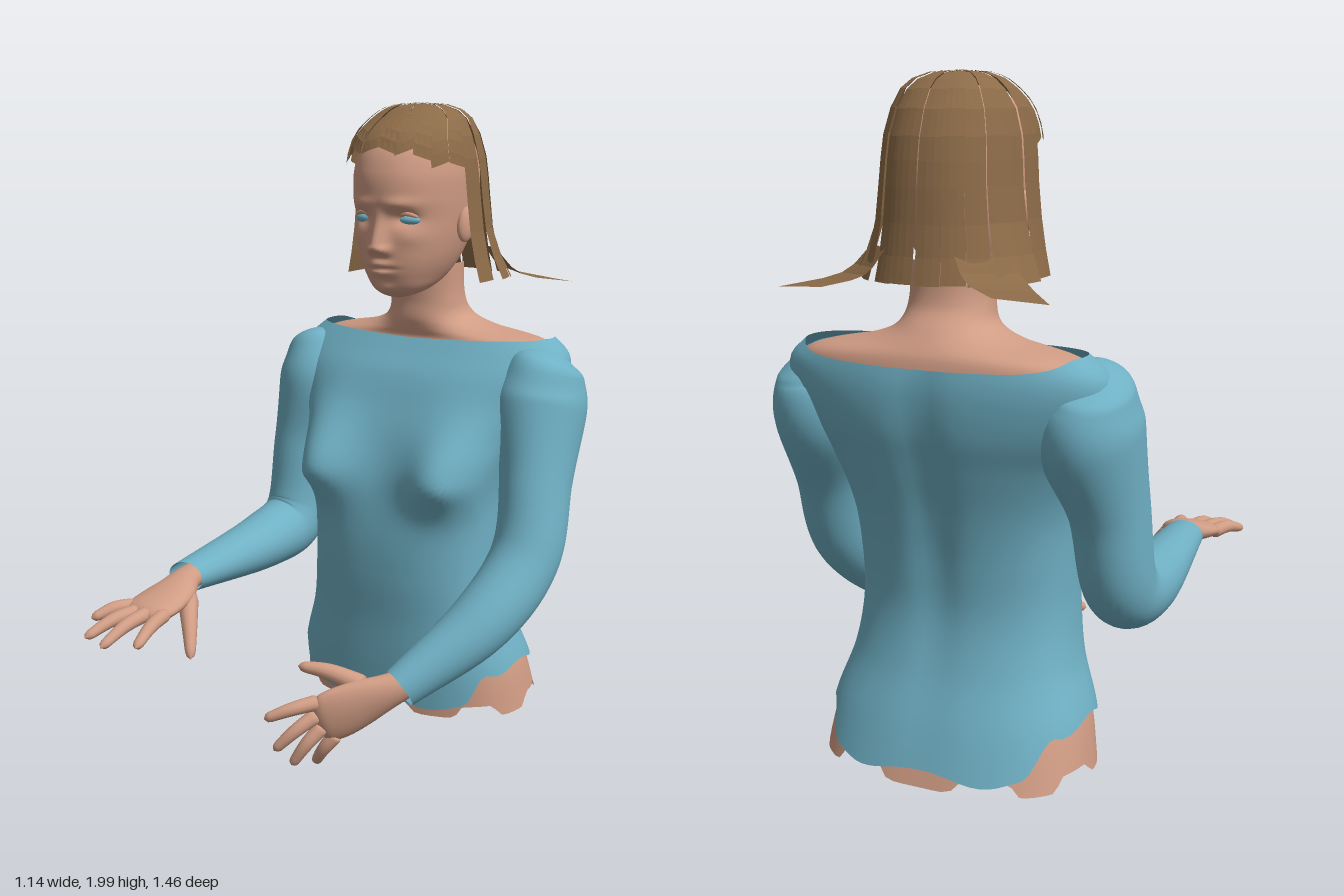
import * as THREE from 'three';

const mat = (name, color, side = THREE.FrontSide) => {
  const m = new THREE.MeshStandardMaterial({ color, side });
  m.name = name;
  return m;
};
const gauss = (x, y, sx, sy) => Math.exp(-((x / sx) ** 2) - (y / sy) ** 2);
const step = THREE.MathUtils.smoothstep;
const spow = (v, p) => Math.sign(v) * Math.abs(v) ** p;

// Smooth interpolation of rows [key, a, b, ...] at a given key
function sample(rows, key) {
  let i = 0;
  while (i < rows.length - 2 && key > rows[i + 1][0]) i++;
  const slope = (k, c) => {
    const a = rows[Math.max(k - 1, 0)], b = rows[Math.min(k + 1, rows.length - 1)];
    return (b[c] - a[c]) / (b[0] - a[0]);
  };
  const p = rows[i], q = rows[i + 1], h = q[0] - p[0];
  const t = THREE.MathUtils.clamp((key - p[0]) / h, 0, 1), t2 = t * t, t3 = t2 * t;
  return p.slice(1).map((v, k) => (2 * t3 - 3 * t2 + 1) * v + (t3 - 2 * t2 + t) * h * slope(i, k + 1)
    + (3 * t2 - 2 * t3) * q[k + 1] + (t3 - t2) * h * slope(i + 1, k + 1));
}

// Grid surface from fn(u, v) -> [x, y, z]; closed wraps around in u
function surface(fn, nu, nv, closed = true, flat = false) {
  const pos = [], idx = [], cols = closed ? nu : nu + 1;
  for (let j = 0; j <= nv; j++) for (let i = 0; i < cols; i++) pos.push(...fn(i / nu, j / nv));
  for (let j = 0; j < nv; j++) for (let i = 0; i < nu; i++) {
    const a = j * cols + i, b = j * cols + (i + 1) % cols;
    idx.push(a, b, b + cols, a, b + cols, a + cols);
  }
  let g = new THREE.BufferGeometry();
  g.setAttribute('position', new THREE.Float32BufferAttribute(pos, 3));
  g.setIndex(idx);
  if (flat) g = g.toNonIndexed();
  g.computeVertexNormals();
  return g;
}

// Point on an upright body section [halfWidth, zFront, zBack]
function section([hw, zf, zb], a, n) {
  const x = hw * spow(Math.sin(a), 2 / n);
  return [x, (zf + zb) / 2 + (zf - zb) / 2 * spow(Math.cos(a), 2 / n)];
}

// Tapered limb along rows [x, y, z, radiusAcross, radiusThick]
function limb(pts, side, nv, nu, roundStart, roundEnd) {
  const rows = pts.map((p, i) => [i, ...p]), last = pts.length - 1;
  const at = t => new THREE.Vector3(...sample(rows, t));
  const sideVec = new THREE.Vector3(...side);
  const dome = (d, r) => (r && d < r ? Math.sqrt(Math.max(0, 1 - (1 - d / r) ** 2)) : 1);
  return surface((u, v) => {
    const t = v * last, s = sample(rows, t);
    const T = at(Math.min(t + 0.02, last)).sub(at(Math.max(t - 0.02, 0))).normalize();
    const A = sideVec.clone().addScaledVector(T, -sideVec.dot(T)).normalize();
    const B = T.clone().cross(A), k = dome(v, roundStart) * dome(1 - v, roundEnd);
    const a = u * Math.PI * 2;
    return new THREE.Vector3(s[0], s[1], s[2]).addScaledVector(A, Math.cos(a) * s[3] * k)
      .addScaledVector(B, Math.sin(a) * s[4] * k).toArray();
  }, nu, nv);
}

// Rows: [y, halfWidth, zFront, zBack]
const TORSO = [
  [0.03, 0.425, -0.15, -0.73], [0.2, 0.395, -0.14, -0.675], [0.35, 0.345, -0.135, -0.62],
  [0.5, 0.325, -0.125, -0.59], [0.65, 0.325, -0.127, -0.597], [0.8, 0.337, -0.15, -0.622],
  [0.95, 0.385, -0.195, -0.66], [1.05, 0.445, -0.235, -0.685], [1.15, 0.485, -0.28, -0.695],
  [1.22, 0.475, -0.33, -0.69], [1.27, 0.42, -0.365, -0.675]];
const NECK = [
  [1.2, 0.435, -0.345, -0.68], [1.24, 0.42, -0.357, -0.672], [1.262, 0.365, -0.365, -0.664],
  [1.285, 0.24, -0.358, -0.648], [1.32, 0.15, -0.35, -0.62], [1.38, 0.122, -0.352, -0.575],
  [1.5, 0.12, -0.34, -0.56]];
const HEAD = [
  [1.4, 0.01, -0.26, -0.28], [1.408, 0.045, -0.23, -0.32], [1.43, 0.085, -0.198, -0.4],
  [1.47, 0.115, -0.172, -0.49], [1.52, 0.14, -0.156, -0.54], [1.58, 0.158, -0.15, -0.58],
  [1.65, 0.17, -0.152, -0.61], [1.72, 0.176, -0.14, -0.625], [1.8, 0.177, -0.147, -0.62],
  [1.88, 0.158, -0.19, -0.59], [1.94, 0.115, -0.28, -0.53], [1.97, 0.01, -0.39, -0.41]];
// Rows: [t from crown to tip, y, halfWidth, zFront, zBack]
const HAIR = [
  [0, 1.998, 0.002, -0.4, -0.404], [0.12, 1.99, 0.085, -0.31, -0.5], [0.3, 1.95, 0.145, -0.235, -0.57],
  [0.4, 1.9, 0.172, -0.165, -0.605], [0.5, 1.83, 0.19, -0.133, -0.632], [0.7, 1.7, 0.201, -0.13, -0.652],
  [0.85, 1.56, 0.216, -0.13, -0.664], [1, 1.45, 0.236, -0.13, -0.685]];

// Forward relief of the face
function faceRelief(x, y) {
  const ax = Math.abs(x), t = THREE.MathUtils.clamp((1.69 - y) / 0.12, 0, 1);
  const nose = 0.038 * t * step(y, 1.532, 1.568) * gauss(x, 0, 0.016 + 0.013 * t, 1);
  return nose + 0.016 * gauss(ax - 0.024, y - 1.558, 0.014, 0.014)
    - 0.022 * gauss(ax - 0.075, y - 1.655, 0.036, 0.022)
    + 0.01 * gauss(ax - 0.07, y - 1.7, 0.05, 0.018)
    + 0.014 * gauss(x, y - 1.514, 0.038, 0.012) + 0.013 * gauss(x, y - 1.486, 0.032, 0.011)
    - 0.009 * gauss(x, y - 1.5, 0.042, 0.004)
    + 0.014 * gauss(x, y - 1.432, 0.035, 0.02) + 0.008 * gauss(ax - 0.1, y - 1.6, 0.04, 0.03);
}

const bust = (x, y) => 0.112 * gauss(Math.abs(x) - 0.24, y - 0.85, 0.125, y > 0.85 ? 0.16 : 0.11)
  + 0.012 * gauss(Math.abs(x) - 0.27, y - 0.82, 0.03, 0.03);

export function createModel() {
  const skin = mat('skin', 0xd09c84), skinOpen = mat('skin open surface', 0xd09c84, THREE.DoubleSide);
  const cloth = mat('blue cloth', 0x6fb0c4, THREE.DoubleSide);
  const hair = mat('brown hair', 0x8c6b48, THREE.DoubleSide), iris = mat('eye blue', 0x6fb0c4);
  const model = new THREE.Group();
  const add = (name, geo, m, parent = model) => {
    const mesh = new THREE.Mesh(geo, m);
    mesh.name = name;
    parent.add(mesh);
    return mesh;
  };

  // Torso cloth with arched hem, and the body inside it
  const trunk = (low, high, inset, relief) => surface((u, v) => {
    const a = u * Math.PI * 2, y = THREE.MathUtils.lerp(low(a), high(a), v);
    const [hw, zf, zb] = sample(TORSO, y);
    let [x, z] = section([hw - inset, zf - inset, zb + inset], a, 2.4);
    z += relief * bust(x, y) * step(Math.cos(a), 0, 0.4);
    z += 0.02 * gauss(x, y - 0.85, 0.06, 0.5) * step(-Math.cos(a), 0.2, 0.8);
    return [x, y, z];
  }, 96, 64);
  const hem = a => 0.085 + 0.115 * step(Math.abs(Math.sin(a)), 0.66, 0.88) + 0.012 * Math.sin(8 * a + 1.5);
  add('sweater body', trunk(hem, a => 1.258 - 0.03 * step(-Math.cos(a), 0.2, 0.9) + 0.012 * Math.abs(Math.sin(a)), 0, 1), cloth);
  add('body', trunk(a => 0.065 + 0.02 * Math.tanh(4 * Math.sin(7 * a + 1.6)), () => 1.2, 0.014, 0.85), skinOpen);

  // Neck and shoulders
  add('neck', surface((u, v) => {
    const a = u * Math.PI * 2, y = 1.2 + 0.3 * v, n = 2.15 + 0.3 * step(-y, -1.3, -1.25);
    const [x, z] = section(sample(NECK, y), a, n);
    return [x, y, z];
  }, 64, 40), skin);

  // Head with modelled face
  const head = new THREE.Group();
  head.name = 'head';
  model.add(head);
  add('face', surface((u, v) => {
    const a = u * Math.PI * 2, y = 1.4 + 0.57 * v, [x, z] = section(sample(HEAD, y), a, 2.15);
    return [x, y, z + faceRelief(x, y) * step(Math.cos(a), 0.1, 0.5)];
  }, 128, 110), skin, head);
  for (const s of [-1, 1]) {
    const ear = add('ear', new THREE.SphereGeometry(1, 16, 12), skin, head);
    ear.scale.set(0.02, 0.056, 0.034);
    ear.position.set(s * 0.182, 1.63, -0.375);
    ear.rotation.set(-0.2, s * -0.3, 0);
    const eye = add('eye', new THREE.SphereGeometry(1, 20, 12), iris, head);
    eye.scale.set(0.038, 0.016, 0.02);
    eye.position.set(s * 0.078, 1.651, -0.2);
    eye.rotation.y = s * 0.2;
    add('eyelid', limb([[s * 0.038, 1.66, -0.182, 0.004, 0.005], [s * 0.077, 1.672, -0.182, 0.008, 0.008],
      [s * 0.114, 1.66, -0.2, 0.004, 0.005]], [0, 1, 0], 12, 8, 0.1, 0.1), skin, head);
  }

  // Hair in separate locks: short fringe in front, long at sides and back
  const locks = new THREE.Group();
  locks.name = 'hair';
  model.add(locks);
  const count = 22;
  for (let i = 0; i < count; i++) {
    const mid = (i + 0.5) / count * Math.PI * 2 - Math.PI, long = Math.abs(mid) > 1.5;
    const lift = 0.003 + (i % 2) * 0.005, width = Math.PI * 2 / count;
    const flare = 0.05 * gauss(Math.abs(mid) - 2.05, 0, 0.35, 1);
    add('lock', surface((u, v) => {
      const end = long ? 1 : 0.46 + 0.07 * step(Math.abs(mid), 0.3, 1.2) + 0.03 * (u - 0.5) * (i % 2 ? 1 : -1);
      const t = v * end, a = mid + (u - 0.5) * width * (1.05 - (long ? 0.09 * v : 0));
      const [y, hw, zf, zb] = sample(HAIR, t), out = lift * Math.min(1, t * 5) + flare * step(t, 0.75, 1.1);
      const [x, z] = section([hw + out, zf + out, zb - out], a, 2.2);
      return [x, y + lift * 0.5, z];
    }, 3, 10, false, true), hair, locks);
  }
  // Flared tips behind the neck
  for (const s of [-1, 1]) {
    const inner = [[0, 0.1, 1.54, -0.65], [1, 0.15, 1.47, -0.68], [2, 0.25, 1.44, -0.73]];
    const outer = [[0, 0.2, 1.54, -0.55], [1, 0.28, 1.46, -0.58], [2, 0.4, 1.43, -0.71]];
    add('flared lock', surface((u, v) => {
      const p = sample(inner, v * 2), q = sample(outer, v * 2);
      return p.map((c, k) => (k ? 1 : s) * THREE.MathUtils.lerp(c, q[k], u));
    }, 2, 6, false, true), hair, locks);
  }

  // Sleeves, from shoulder to cuff; broad at the top to merge with the chest and back
  const sleeve = (name, s, pts) => add(name, limb([[s * 0.43, 1.235, -0.505, 0.07, 0.1],
    [s * 0.418, 1.17, -0.487, 0.118, 0.155], [s * 0.412, 1.05, -0.463, 0.145, 0.182], ...pts],
  [1, 0, 0], 64, 36, 0.13, 0), cloth);
  sleeve('left sleeve', 1, [[0.447, 0.84, -0.38, 0.112, 0.135], [0.46, 0.61, -0.29, 0.108, 0.118],
    [0.4, 0.435, -0.11, 0.1, 0.1], [0.25, 0.265, 0.12, 0.062, 0.068]]);
  sleeve('right sleeve', -1, [[-0.447, 0.84, -0.41, 0.112, 0.135], [-0.46, 0.6, -0.35, 0.105, 0.115],
    [-0.468, 0.54, -0.17, 0.1, 0.095], [-0.43, 0.547, 0.3, 0.063, 0.048]]);

  // Hands: a palm and five tapered fingers [base, tip, knuckle lift]
  const hand = (name, side, palm, thumb, fingers) => {
    const g = new THREE.Group();
    g.name = name;
    model.add(g);
    add('palm', limb(palm, side, 28, 24, 0.05, 0.14), skin, g);
    add('thumb', limb(thumb, [0.3, 1, 0.2], 18, 12, 0.1, 0.14), skin, g);
    for (const [a, b, lift] of fingers) {
      const m = a.map((c, k) => (c + b[k]) / 2 + lift[k]);
      add('finger', limb([[...a, 0.025, 0.023], [...m, 0.021, 0.02], [...b, 0.015, 0.013]],
        side, 18, 12, 0.1, 0.12), skin, g);
    }
  };
  const up = [0, 0.012, 0];
  hand('right hand', [1, 0, 0],
    [[-0.43, 0.547, 0.22, 0.045, 0.038], [-0.415, 0.547, 0.32, 0.05, 0.036], [-0.4, 0.53, 0.4, 0.076, 0.037],
      [-0.402, 0.513, 0.48, 0.088, 0.031], [-0.41, 0.5, 0.555, 0.08, 0.022]],
    [[-0.365, 0.525, 0.37, 0.036, 0.034], [-0.295, 0.46, 0.45, 0.026, 0.024], [-0.24, 0.385, 0.515, 0.015, 0.014]],
    [[[-0.345, 0.505, 0.5], [-0.3, 0.465, 0.69], up], [[-0.39, 0.507, 0.52], [-0.4, 0.458, 0.73], up],
      [[-0.43, 0.505, 0.52], [-0.475, 0.468, 0.715], up], [[-0.465, 0.505, 0.49], [-0.53, 0.49, 0.625], up]]);
  const fwd = [0.004, 0.008, 0.012];
  hand('left hand', [-0.1, 0.85, 0.3],
    [[0.29, 0.3, 0.05, 0.045, 0.045], [0.235, 0.265, 0.13, 0.055, 0.04], [0.165, 0.228, 0.195, 0.08, 0.038],
      [0.105, 0.195, 0.25, 0.09, 0.032], [0.055, 0.175, 0.295, 0.078, 0.022]],
    [[0.17, 0.27, 0.18, 0.036, 0.034], [0.07, 0.318, 0.235, 0.026, 0.025], [-0.015, 0.335, 0.28, 0.015, 0.014]],
    [[[0.07, 0.24, 0.285], [-0.05, 0.2, 0.41], fwd], [[0.065, 0.2, 0.29], [-0.03, 0.095, 0.39], fwd],
      [[0.075, 0.16, 0.275], [0, 0.035, 0.34], fwd], [[0.1, 0.125, 0.24], [0.025, 0.014, 0.25], fwd]]);
  return model;
}
